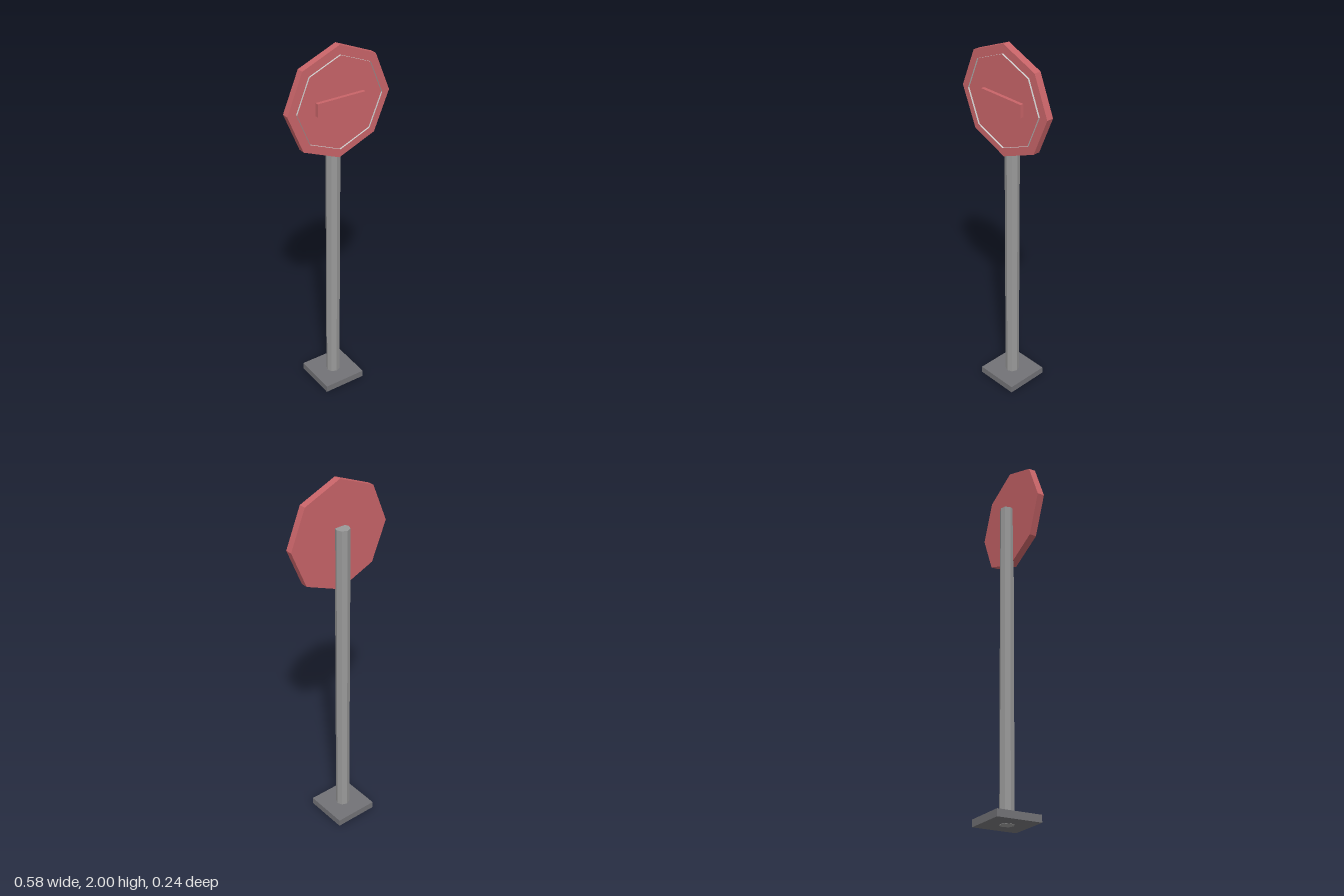
import * as THREE from 'three';

const SIGN_Y = 1.708;

function material(color, side = THREE.FrontSide) {
  return new THREE.MeshStandardMaterial({ color, flatShading: true, side });
}

function part(name, geometry, mat, x, y, z) {
  const mesh = new THREE.Mesh(geometry, mat);
  mesh.name = name;
  mesh.position.set(x, y, z);
  return mesh;
}

// Eight-sided prism whose axis runs along z
function octagon(radius, depth, open = false) {
  return new THREE.CylinderGeometry(radius, radius, depth, 8, 1, open).rotateX(Math.PI / 2);
}

export function createModel() {
  const group = new THREE.Group();
  group.name = 'roadSign';
  const red = material(0xc86468);

  // Square foot and eight-sided post
  group.add(part('base', new THREE.BoxGeometry(0.244, 0.038, 0.244), material(0x727276), 0, 0.021, 0));
  group.add(part('post', new THREE.CylinderGeometry(0.038, 0.038, 1.757, 8), material(0x999999), 0, 0.8785, 0));

  // Octagonal plate, standing on one corner in front of the post
  group.add(part('signPlate', octagon(0.292, 0.038), red, 0, SIGN_Y, 0.039));

  // Thin open rim raised from the face of the plate
  group.add(part('rim', octagon(0.244, 0.02, true), material(0xcccccc, THREE.DoubleSide), 0, SIGN_Y, 0.057));

  // Raised horizontal bar
  group.add(part('bar', new THREE.BoxGeometry(0.272, 0.068, 0.02), red, 0, SIGN_Y, 0.067));

  return group;
}
